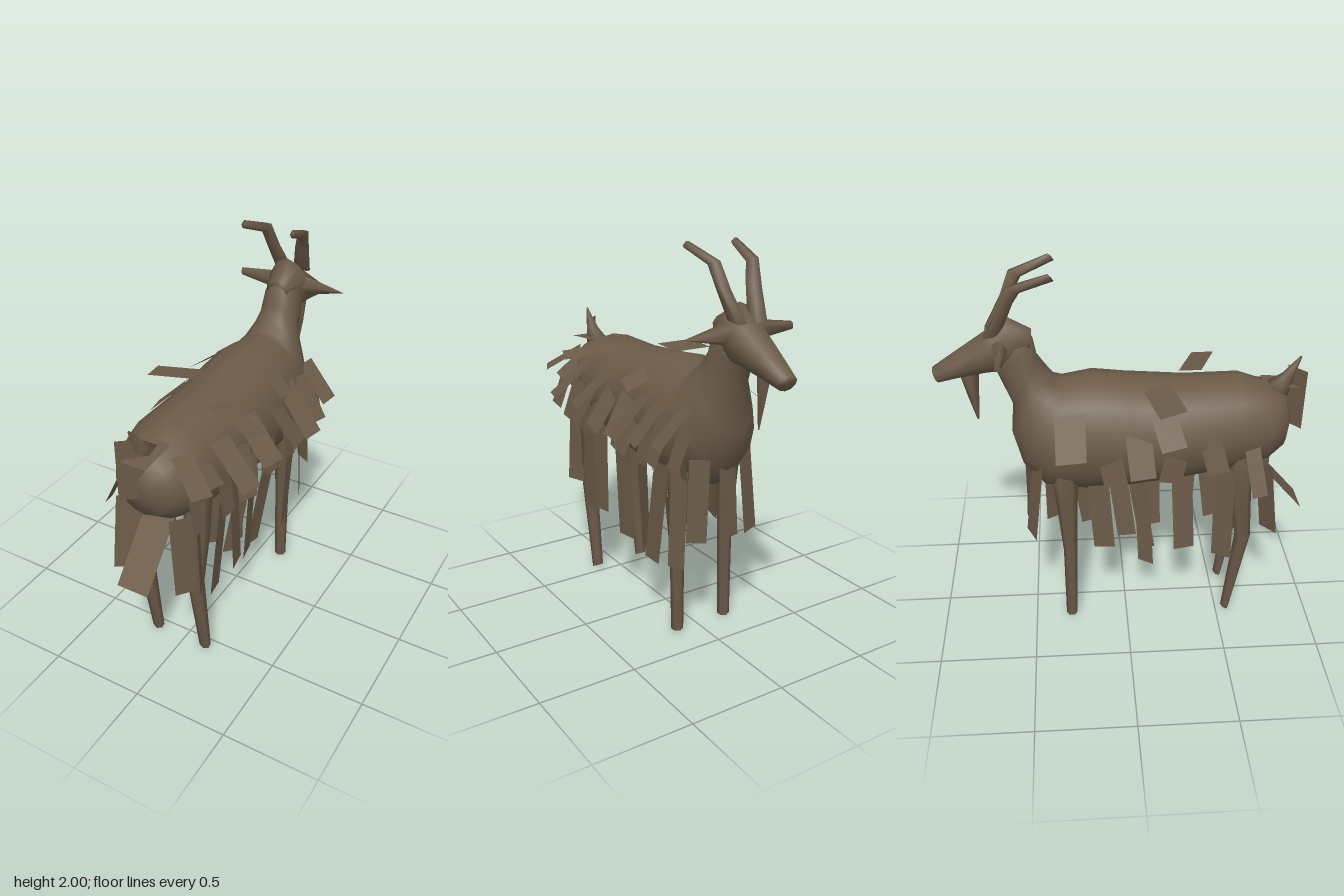
import * as THREE from 'three';

const brown = new THREE.MeshStandardMaterial({ color: 0x6b5a48, side: THREE.DoubleSide });
const CX = -0.022; // body centre line
const rad = THREE.MathUtils.degToRad;

// Skin over elliptical rings: [z, y of one edge, z, y of opposite edge, half width, x offset]
function loft(rings, sides) {
  const pos = [], index = [], n = rings.length;
  for (const [z0, y0, z1, y1, hw, x = 0] of rings) {
    for (let j = 0; j < sides; j++) {
      const t = (j / sides) * Math.PI * 2, c = Math.cos(t) / 2;
      pos.push(x + Math.sin(t) * hw, (y0 + y1) / 2 + (y0 - y1) * c, (z0 + z1) / 2 + (z0 - z1) * c);
    }
  }
  for (const [z0, y0, z1, y1, , x = 0] of [rings[0], rings[n - 1]]) pos.push(x, (y0 + y1) / 2, (z0 + z1) / 2);
  for (let j = 0; j < sides; j++) {
    const k = (j + 1) % sides, last = (n - 1) * sides;
    for (let a = 0; a < last; a += sides) {
      const b = a + sides;
      index.push(a + j, a + k, b + j, a + k, b + k, b + j);
    }
    index.push(n * sides, k, j, n * sides + 1, last + j, last + k);
  }
  const g = new THREE.BufferGeometry();
  g.setAttribute('position', new THREE.Float32BufferAttribute(pos, 3));
  g.setIndex(index);
  g.computeVertexNormals();
  return g;
}

// Flat lock of hair from a to b; twist turns its width from z towards x
function lock(a, b, width, twist) {
  const d = b.clone().sub(a).normalize();
  const side = new THREE.Vector3(0, 0, 1).addScaledVector(d, -d.z).normalize()
    .applyAxisAngle(d, rad(twist)).multiplyScalar(width / 2);
  const corners = [a.clone().sub(side), b.clone().sub(side), b.clone().add(side), a.clone().add(side)];
  const g = new THREE.BufferGeometry().setFromPoints(corners);
  g.setIndex([0, 1, 2, 0, 2, 3]);
  g.computeVertexNormals();
  return g;
}

export function createModel() {
  const group = new THREE.Group();
  const add = (name, geometry, parent = group) => {
    const m = new THREE.Mesh(geometry, brown);
    m.name = name;
    parent.add(m);
    return m;
  };

  // Rump, barrel, chest and neck
  add('bodyAndNeck', loft([
    [0.84, 1.22, 0.84, 1.1, 0.06], [0.8, 1.31, 0.81, 1.0, 0.15],
    [0.72, 1.34, 0.72, 0.93, 0.21], [0.58, 1.39, 0.56, 0.89, 0.245],
    [0.3, 1.385, 0.3, 0.84, 0.26], [0, 1.41, 0, 0.8, 0.265],
    [-0.16, 1.43, -0.2, 0.79, 0.267], [-0.31, 1.405, -0.42, 0.82, 0.24],
    [-0.35, 1.42, -0.53, 0.95, 0.2], [-0.39, 1.48, -0.575, 1.12, 0.145],
    [-0.43, 1.54, -0.56, 1.28, 0.11], [-0.445, 1.63, -0.63, 1.46, 0.098],
    [-0.52, 1.7, -0.66, 1.52, 0.08],
  ], 16)).position.x = CX;

  // Wedge-shaped head
  add('head', loft([
    [-0.45, 1.67, -0.46, 1.57, 0.06], [-0.575, 1.745, -0.6, 1.46, 0.11],
    [-0.68, 1.665, -0.68, 1.455, 0.095], [-0.8, 1.58, -0.82, 1.43, 0.075],
    [-0.94, 1.485, -0.91, 1.41, 0.052],
  ], 10)).position.x = CX;

  // Paired horns, ears and legs; the right ear has a blunt tip
  for (const s of [-1, 1]) {
    const side = s > 0 ? 'left' : 'right';
    add(side + 'Horn', loft([
      [-0.585, 1.69, -0.685, 1.66, 0.045, s * 0.055], [-0.525, 1.84, -0.605, 1.8, 0.038, s * 0.085],
      [-0.49, 1.9, -0.555, 1.93, 0.028, s * 0.105], [-0.33, 1.965, -0.36, 2.0, 0.014, s * 0.135],
    ], 5)).position.x = CX;

    const ear = add(side + 'Ear', new THREE.CylinderGeometry(s > 0 ? 0.002 : 0.022, 0.054, 0.22, 5));
    ear.scale.z = 0.75;
    ear.rotation.z = -s * Math.PI / 2;
    ear.position.set(CX + s * (s > 0 ? 0.2 : 0.175), 1.61, -0.6);

    add(side + 'FrontLeg', loft([
      [-0.39, 1.0, -0.24, 1.0, 0.065], [-0.365, 0.76, -0.255, 0.76, 0.05],
      [-0.337, 0.45, -0.265, 0.45, 0.037], [-0.335, 0.01, -0.275, 0.01, 0.032],
    ], 6)).position.x = CX + s * 0.147;
    add(side + 'HindLeg', loft([
      [0.51, 1.05, 0.68, 1.05, 0.075], [0.53, 0.8, 0.65, 0.8, 0.058],
      [0.58, 0.52, 0.665, 0.5, 0.042], [0.53, 0.02, 0.575, 0, 0.032],
    ], 6)).position.x = CX + s * 0.147;
  }

  // Beard and upturned tail
  add('beard', loft([
    [-0.815, 1.46, -0.715, 1.46, 0.03], [-0.78, 1.32, -0.725, 1.32, 0.02], [-0.745, 1.19, -0.735, 1.19, 0.004],
  ], 4)).position.x = CX;
  add('tail', loft([
    [0.83, 1.27, 0.7, 1.34, 0.06], [0.85, 1.37, 0.79, 1.39, 0.035], [0.885, 1.485, 0.875, 1.49, 0.004],
  ], 5)).position.x = CX;

  const coat = new THREE.Group();
  coat.name = 'coat';
  group.add(coat);

  // Locks on back and flanks: [z, degrees round from spine, length, flare degrees, z drift, width]
  const leftCoat = [
    [-0.44, 62, 0.24, 14, 0.02, 0.11], [-0.48, 84, 0.22, 10, 0.03, 0.09],
    [-0.15, 60, 0.3, 10, 0.04, 0.12], [-0.1, 32, 0.18, 4, 0.06, 0.12],
    [-0.29, 66, 0.25, 12, 0.05, 0.12], [0.0, 70, 0.25, 13, -0.03, 0.12],
    [0.24, 56, 0.26, 13, 0.06, 0.13], [0.34, 26, 0.27, 20, 0.1, 0.12],
    [0.48, 56, 0.27, 14, 0.05, 0.12], [0.62, 50, 0.18, 8, 0.04, 0.11],
    [0.7, 42, 0.2, 8, 0.1, 0.11], [0.16, 76, 0.24, 12, 0.05, 0.12],
    [0.36, 78, 0.25, 10, 0.07, 0.13], [0.52, 84, 0.23, 8, 0.04, 0.12],
    [0.28, 88, 0.22, 10, 0.06, 0.12], [-0.08, 84, 0.25, 12, 0.05, 0.11],
    [-0.2, 84, 0.25, 10, -0.03, 0.12], [-0.35, 82, 0.24, 8, 0.05, 0.11],
    [-0.4, 100, 0.22, 6, -0.03, 0.1], [0.44, 100, 0.2, 12, 0.03, 0.11],
    [0.08, 96, 0.22, 12, 0.03, 0.11], [0.73, 80, 0.22, 6, 0.04, 0.1],
  ];
  const rightCoat = [
    [-0.28, -52, 0.25, 15, 0, 0.15], [0.05, -76, 0.22, 14, 0.02, 0.13],
    [0.15, -19, 0.26, 15, 0.06, 0.14], [0.17, -50, 0.2, 6, 0.05, 0.13],
    [0.4, -82, 0.19, 6, 0.05, 0.11], [0.25, -92, 0.2, 8, -0.04, 0.12],
    [-0.1, -90, 0.21, 8, 0.04, 0.12], [0.62, -98, 0.27, 32, 0.04, 0.08],
  ];
  [...leftCoat, ...rightCoat].forEach(([z, deg, len, flare, drift, w], i) => {
    const s = Math.sign(deg), t = rad(Math.abs(deg)), f = t - rad(flare);
    const shrink = z > 0.6 || z < -0.38 ? 0.84 : 0.97;
    const a = new THREE.Vector3(CX + s * 0.255 * shrink * Math.sin(t), 1.145 + 0.26 * shrink * Math.cos(t), z);
    const b = a.clone().add(new THREE.Vector3(s * Math.cos(f) * len, -Math.sin(f) * len, drift));
    add('flankLock', lock(a, b, w, [8, -5, 10, -8][i % 4]), coat);
  });

  // Long hanging locks: [x, z, y of root, x, z, y of tip, width, twist]
  const hangingLeft = [
    [0.14, 0.76, 1.0, 0.16, 0.76, 0.56, 0.11, 40], [0.17, 0.66, 0.97, 0.19, 0.67, 0.53, 0.11, -25],
    [0.19, 0.45, 0.95, 0.17, 0.52, 0.4, 0.12, -10], [0.19, 0.36, 0.96, 0.2, 0.345, 0.46, 0.115, -10],
    [0.18, 0.14, 0.94, 0.15, 0.155, 0.36, 0.12, -12], [0.1, 0.03, 0.92, 0.03, 0.13, 0.3, 0.09, 30],
    [0.18, -0.06, 0.94, 0.11, 0.02, 0.32, 0.105, 8], [0.19, -0.26, 0.92, 0.2, -0.18, 0.37, 0.105, -10],
    [0.17, -0.39, 0.92, 0.19, -0.39, 0.41, 0.09, -30], [0.13, -0.5, 1.0, 0.15, -0.505, 0.58, 0.1, -60],
  ];
  const hangingRight = [
    [-0.19, 0.7, 0.97, -0.2, 0.75, 0.56, 0.12, 55], [-0.2, 0.5, 0.95, -0.235, 0.5, 0.42, 0.11, 30],
    [-0.19, 0.28, 0.94, -0.23, 0.3, 0.48, 0.11, -10], [-0.02, 0.08, 0.92, -0.1, 0.11, 0.29, 0.1, 40],
    [-0.2, -0.15, 0.92, -0.22, -0.12, 0.5, 0.11, 10], [-0.17, -0.45, 1.0, -0.18, -0.5, 0.57, 0.12, 65],
    [-0.03, -0.5, 0.97, -0.04, -0.52, 0.57, 0.11, 80],
  ];
  // Under the rump, beside the tail and on the croup
  const rear = [
    [-0.025, 0.68, 0.93, -0.025, 0.94, 0.63, 0.17, 90], [-0.04, 0.865, 1.43, -0.045, 0.86, 1.11, 0.12, 50],
    [0.0, 0.7, 1.345, 0.0, 0.9, 1.33, 0.13, 90],
  ];
  for (const [ax, az, ay, bx, bz, by, w, twist] of [...hangingLeft, ...hangingRight, ...rear]) {
    add('hangingLock', lock(new THREE.Vector3(ax, ay, az), new THREE.Vector3(bx, by, bz), w, twist), coat);
  }
  return group;
}
